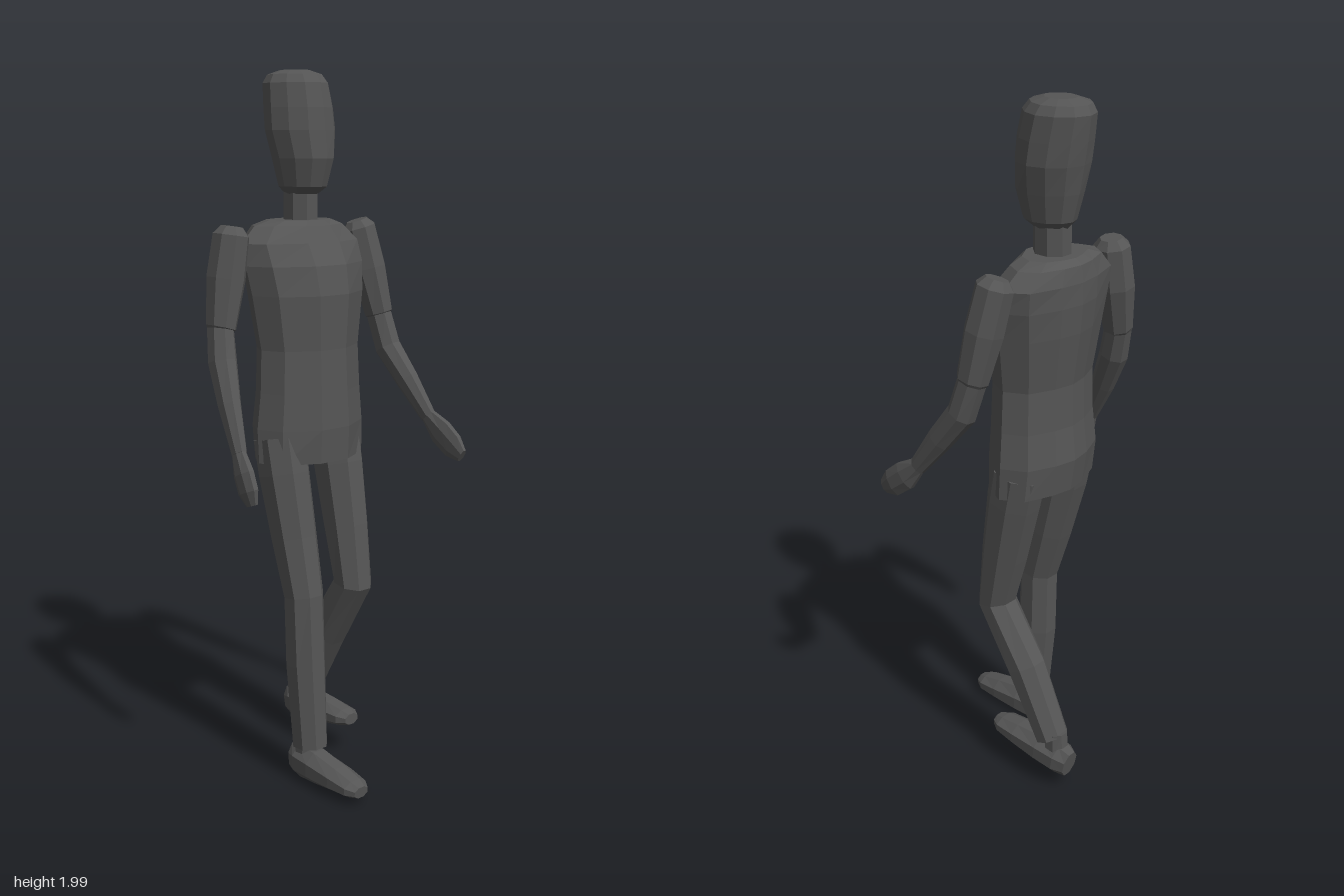
import * as THREE from 'three';

const V = (x, y, z) => new THREE.Vector3(x, y, z);

// Skin a list of equal-length loops (counter-clockwise about the travel direction) and cap both ends.
function loft(loops) {
  const pos = [];
  const tri = (...pts) => pts.forEach((p) => pos.push(p.x, p.y, p.z));
  const n = loops[0].length;
  for (let k = 0; k + 1 < loops.length; k++) {
    const a = loops[k], b = loops[k + 1];
    for (let i = 0; i < n; i++) {
      const j = (i + 1) % n;
      tri(a[i], a[j], b[j]);
      tri(a[i], b[j], b[i]);
    }
  }
  const cap = (loop, flip) => {
    const c = loop.reduce((s, p) => s.add(p), V(0, 0, 0)).divideScalar(n);
    for (let i = 0; i < n; i++) {
      const p = loop[i], q = loop[(i + 1) % n];
      flip ? tri(c, q, p) : tri(c, p, q);
    }
  };
  cap(loops[0], true);
  cap(loops[loops.length - 1], false);
  const g = new THREE.BufferGeometry();
  g.setAttribute('position', new THREE.Float32BufferAttribute(pos, 3));
  g.computeVertexNormals();
  return g;
}

// Octagonal limb along rows of [x, y, z, radius across x, radius in the other direction].
function limb(rows) {
  const p = rows.map((r) => V(r[0], r[1], r[2]));
  return loft(rows.map((r, k) => {
    const t = V(0, 0, 0);
    if (k > 0) t.add(p[k].clone().sub(p[k - 1]).normalize());
    if (k < p.length - 1) t.add(p[k + 1].clone().sub(p[k]).normalize());
    t.normalize();
    const u = V(1, 0, 0).addScaledVector(t, -t.x).normalize();
    const v = t.clone().cross(u);
    return Array.from({ length: 8 }, (_, i) => {
      const a = ((i + 0.5) * Math.PI) / 4, s = 1 / Math.cos(Math.PI / 8);
      return p[k].clone()
        .addScaledVector(u, Math.cos(a) * r[3] * s)
        .addScaledVector(v, Math.sin(a) * r[4] * s);
    });
  }));
}

// Symmetric body from a half outline and rows of [y, half width, front z, back z].
function body(half, rows) {
  const mirror = half.filter((q) => q[0] > 0).reverse().map(([x, z]) => [-x, z]);
  const outline = [...half, ...mirror];
  return loft(rows.map(([y, w, f, b]) =>
    outline.map(([x, z]) => V(x * w, y, (f + b) / 2 + (z * (f - b)) / 2))));
}

export function createModel() {
  const model = new THREE.Group();
  model.name = 'walkingFigure';
  const grey = new THREE.MeshStandardMaterial({ color: 0x555555, flatShading: true });
  grey.name = 'darkGrey';
  const add = (name, geometry) => {
    const m = new THREE.Mesh(geometry, grey);
    m.name = name;
    model.add(m);
  };

  // Torso: flat chest, rounded sides, slight ridge along the spine
  add('torso', body(
    [[0.28, 1], [0.82, 0.55], [1, -0.05], [0.8, -0.62], [0.35, -0.9], [0, -1]],
    [
      [0.935, 0.178, 0.045, -0.175],
      [1.03, 0.178, 0.05, -0.19],
      [1.13, 0.168, 0.045, -0.18],
      [1.25, 0.163, 0.04, -0.178],
      [1.4, 0.185, 0.045, -0.2],
      [1.48, 0.198, 0.03, -0.207],
      [1.54, 0.2, 0, -0.207],
      [1.585, 0.15, -0.025, -0.2],
      [1.6, 0.1, -0.035, -0.18],
    ]));

  // Head: slightly pointed face and back, tapering to the chin
  add('head', body(
    [[0, 1], [0.45, 0.84], [0.82, 0.48], [1, 0], [0.85, -0.48], [0.48, -0.85], [0, -1]],
    [
      [1.67, 0.045, -0.04, -0.15],
      [1.69, 0.066, -0.01, -0.168],
      [1.765, 0.084, 0.012, -0.188],
      [1.84, 0.1, 0.006, -0.203],
      [1.9, 0.097, 0, -0.213],
      [1.965, 0.09, -0.015, -0.222],
      [1.988, 0.075, -0.035, -0.21],
      [2.0, 0.04, -0.075, -0.17],
    ]));

  add('neck', limb([
    [0, 1.58, -0.1, 0.044, 0.05],
    [0, 1.69, -0.1, 0.044, 0.05],
  ]));

  // Arms: domed shoulder, sleeve end above the elbow, slim forearm
  add('rightArm', limb([
    [-0.232, 1.588, -0.108, 0.028, 0.03],
    [-0.236, 1.565, -0.108, 0.046, 0.05],
    [-0.252, 1.45, -0.112, 0.05, 0.052],
    [-0.276, 1.32, -0.105, 0.038, 0.042],
    [-0.278, 1.315, -0.105, 0.034, 0.038],
    [-0.288, 1.23, -0.085, 0.036, 0.04],
    [-0.304, 1.12, -0.035, 0.028, 0.034],
    [-0.319, 1.0, 0.025, 0.018, 0.024],
  ]));
  add('rightHand', limb([
    [-0.319, 1.005, 0.022, 0.016, 0.022],
    [-0.324, 0.95, 0.05, 0.019, 0.036],
    [-0.325, 0.905, 0.07, 0.017, 0.036],
    [-0.322, 0.87, 0.082, 0.01, 0.02],
  ]));
  add('leftArm', limb([
    [0.228, 1.588, -0.12, 0.028, 0.03],
    [0.234, 1.567, -0.117, 0.046, 0.048],
    [0.255, 1.45, -0.098, 0.049, 0.05],
    [0.277, 1.32, -0.076, 0.038, 0.042],
    [0.278, 1.315, -0.075, 0.034, 0.038],
    [0.287, 1.22, -0.045, 0.036, 0.038],
    [0.3, 1.13, 0.025, 0.029, 0.034],
    [0.314, 1.03, 0.1, 0.018, 0.024],
  ]));
  add('leftHand', limb([
    [0.314, 1.034, 0.097, 0.016, 0.022],
    [0.321, 0.99, 0.145, 0.019, 0.04],
    [0.325, 0.955, 0.19, 0.017, 0.038],
    [0.325, 0.932, 0.226, 0.01, 0.02],
  ]));

  // Legs: right one planted, left one bent back at the knee
  add('rightLeg', limb([
    [-0.105, 1.0, -0.07, 0.068, 0.075],
    [-0.105, 0.9, -0.05, 0.066, 0.074],
    [-0.102, 0.72, -0.01, 0.06, 0.064],
    [-0.1, 0.56, 0.028, 0.053, 0.053],
    [-0.1, 0.36, 0.035, 0.052, 0.056],
    [-0.098, 0.115, 0.052, 0.046, 0.05],
  ]));
  add('leftLeg', limb([
    [0.1, 1.0, -0.075, 0.068, 0.075],
    [0.1, 0.9, -0.053, 0.066, 0.074],
    [0.1, 0.72, -0.018, 0.06, 0.064],
    [0.1, 0.55, 0.013, 0.053, 0.053],
    [0.098, 0.37, -0.1, 0.052, 0.056],
    [0.095, 0.165, -0.2, 0.046, 0.046],
  ]));

  // Feet: octagonal wedges, heel to toe, with an ankle joint
  const foot = (side, x, heelZ, heelY, rise) => {
    add(side + 'Foot', limb([
      [0, 0, 0, 0.028, 0.042],
      [0, 0.002, 0.035, 0.043, 0.049],
      [0, 0, 0.1, 0.048, 0.046],
      [0, -0.008, 0.19, 0.046, 0.034],
      [0, -0.016, 0.255, 0.04, 0.024],
      [0, -0.02, 0.282, 0.024, 0.016],
    ].map(([, y, z, a, b]) => [x, heelY + y + rise * z, heelZ + z, a, b])));
    add(side + 'Ankle', limb([
      [x, heelY + 0.095, heelZ + 0.055, 0.03, 0.034],
      [x, heelY + 0.01, heelZ + 0.05, 0.034, 0.036],
    ]));
  };
  foot('right', -0.098, -0.012, 0.056, 0.04);
  foot('left', 0.096, -0.268, 0.097, 0.16);

  // Stand on the ground and centre the figure
  const box = new THREE.Box3().setFromObject(model);
  model.children.forEach((m) => m.geometry.translate(0, -box.min.y, 0));
  return model;
}
